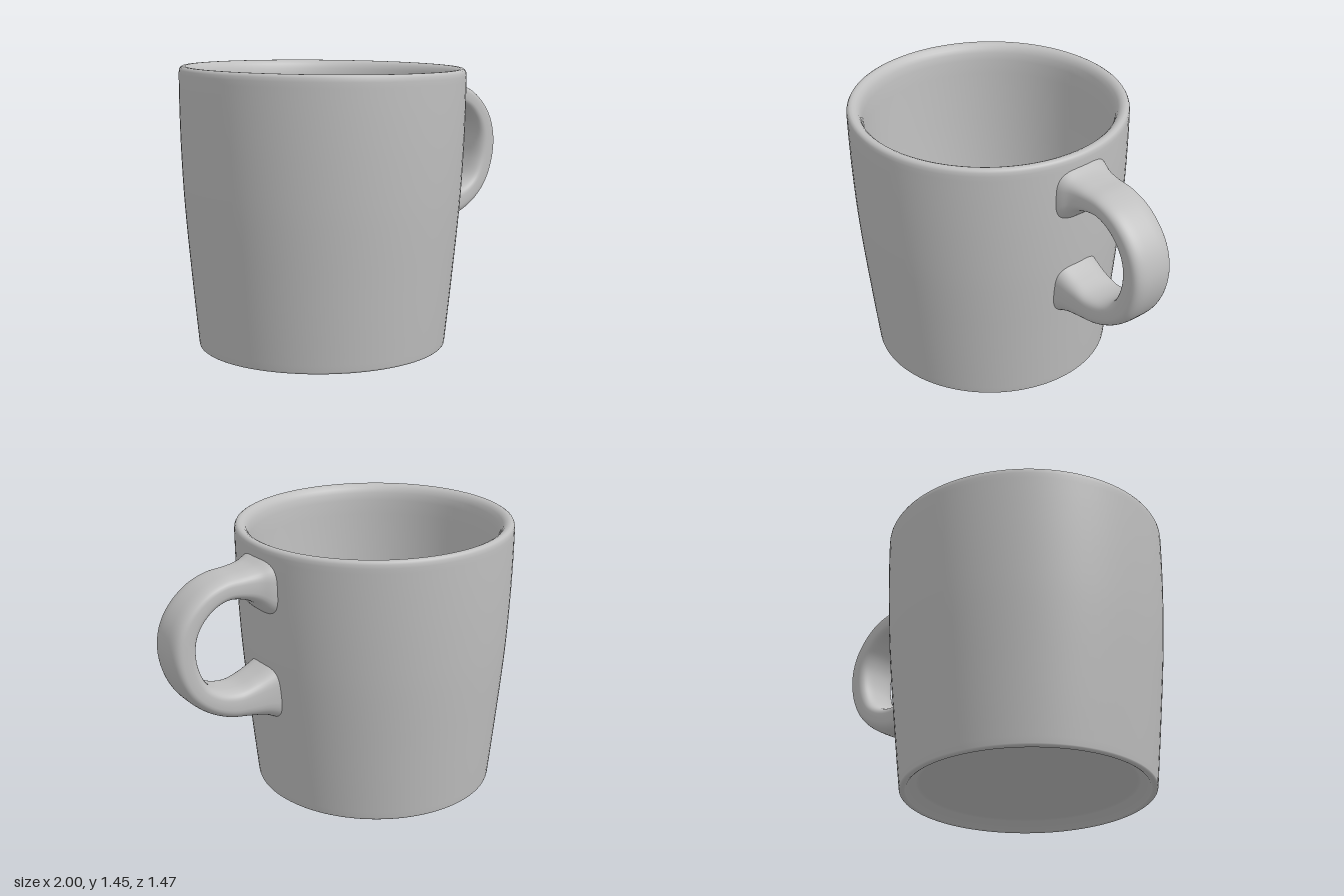
import * as THREE from 'three';

const glaze = new THREE.MeshStandardMaterial({ color: 0xbfbfbf });
glaze.name = 'grey glaze';

const CENTRE_X = -0.265;

// Cup wall: underside, foot, outside, rim, inside and floor in one lathe profile.
function makeCup() {
  const outside = new THREE.SplineCurve([
    [0.645, 0.012], [0.664, 0.2], [0.683, 0.4], [0.703, 0.62], [0.718, 0.82],
    [0.729, 1.05], [0.734, 1.25], [0.735, 1.41],
  ].map(([r, y]) => new THREE.Vector2(r, y))).getPoints(28);
  const pair = ([r, y]) => new THREE.Vector2(r, y);
  const profile = [
    ...[[0, 0.052], [0.53, 0.052], [0.55, 0.05], [0.56, 0.046], [0.605, 0.015],
      [0.612, 0.006], [0.62, 0.001], [0.63, 0], [0.638, 0.002], [0.643, 0.006]].map(pair),
    ...outside,
    ...[[0.733, 1.428], [0.727, 1.439], [0.717, 1.445], [0.703, 1.445], [0.688, 1.438],
      [0.674, 1.424], [0.663, 1.4], [0.656, 1.36], [0.652, 1.28], [0.642, 1.0],
      [0.622, 0.7], [0.595, 0.4], [0.575, 0.22], [0.567, 0.17], [0.558, 0.15],
      [0.545, 0.14], [0.52, 0.135], [0, 0.135]].map(pair),
  ];
  const geometry = new THREE.LatheGeometry(profile, 96);
  // Hand-thrown unevenness: the foot sits slightly off centre and the rim slopes a little.
  const p = geometry.attributes.position;
  for (let i = 0; i < p.count; i++) {
    const x = p.getX(i), y = p.getY(i), z = p.getZ(i), up = y / 1.445;
    p.setXYZ(i, x - 0.008 * (1 - up), y - (0.008 * x + 0.008 * z) * up, z - 0.008 * (1 - up));
  }
  const cup = new THREE.Mesh(geometry, glaze);
  cup.name = 'cup';
  cup.position.x = CENTRE_X;
  return cup;
}

// Handle: rounded-rectangle sections swept between an outer and an inner outline.
function makeHandle() {
  // outer x, outer y, inner x, inner y, half width
  const stations = [
    [0.40, 1.40, 0.40, 1.04, 0.175], [0.465, 1.37, 0.465, 1.095, 0.16],
    [0.52, 1.345, 0.53, 1.16, 0.137], [0.60, 1.33, 0.60, 1.19, 0.124],
    [0.70, 1.32, 0.68, 1.20, 0.121], [0.81, 1.28, 0.76, 1.17, 0.121],
    [0.91, 1.20, 0.825, 1.105, 0.121], [0.975, 1.10, 0.855, 1.04, 0.121],
    [1.00, 0.98, 0.862, 0.97, 0.121], [0.98, 0.85, 0.848, 0.88, 0.121],
    [0.92, 0.73, 0.80, 0.785, 0.121], [0.82, 0.635, 0.72, 0.735, 0.121],
    [0.70, 0.575, 0.62, 0.722, 0.122], [0.58, 0.55, 0.53, 0.75, 0.126],
    [0.48, 0.53, 0.45, 0.79, 0.136], [0.38, 0.485, 0.385, 0.83, 0.148],
  ];
  const curve = (a, b) => new THREE.CatmullRomCurve3(
    stations.map((s) => new THREE.Vector3(s[a], s[b], s[4])));
  const outer = curve(0, 1), inner = curve(2, 3);
  const rings = 90, sides = 40, positions = [], index = [];
  const soft = (v) => Math.sign(v) * Math.pow(Math.abs(v), 0.62);
  for (let i = 0; i <= rings; i++) {
    const o = outer.getPoint(i / rings), n = inner.getPoint(i / rings);
    for (let j = 0; j < sides; j++) {
      const angle = (j / sides) * Math.PI * 2;
      const k = (1 + soft(Math.cos(angle))) / 2;
      positions.push(n.x + (o.x - n.x) * k, n.y + (o.y - n.y) * k,
        -0.016 + o.z * soft(Math.sin(angle)));
      if (i === rings) continue;
      const a = i * sides + j, b = i * sides + (j + 1) % sides;
      index.push(a, b, a + sides, b, b + sides, a + sides);
    }
  }
  const geometry = new THREE.BufferGeometry();
  geometry.setAttribute('position', new THREE.Float32BufferAttribute(positions, 3));
  geometry.setIndex(index);
  geometry.computeVertexNormals();
  const handle = new THREE.Mesh(geometry, glaze);
  handle.name = 'handle';
  return handle;
}

export function createModel() {
  const mug = new THREE.Group();
  mug.name = 'mug';
  mug.add(makeCup(), makeHandle());
  return mug;
}
